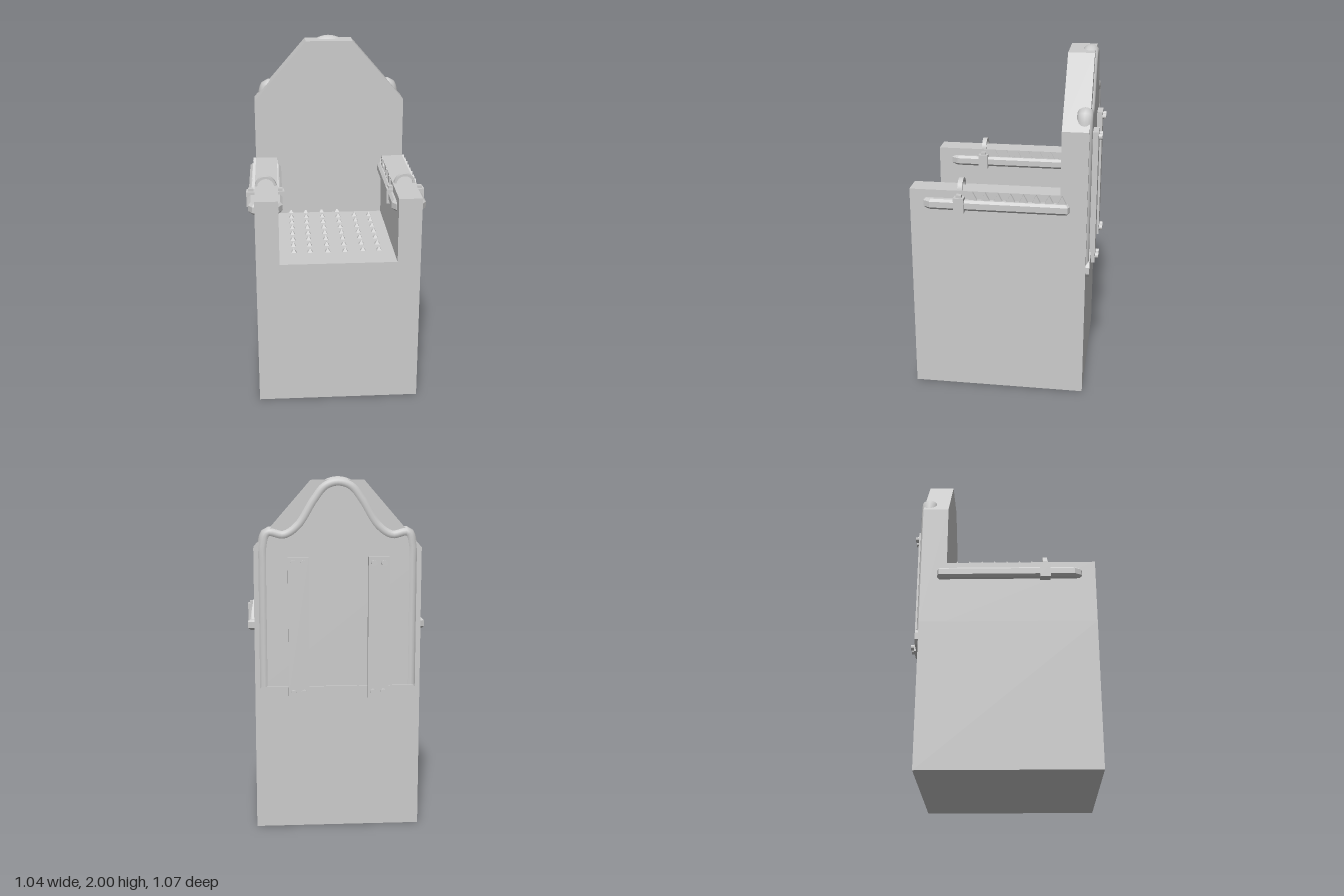
import * as THREE from 'three';

const mat = new THREE.MeshStandardMaterial({ color: 0xcccccc, flatShading: true });
const smooth = new THREE.MeshStandardMaterial({ color: 0xcccccc });

export function createModel() {
  const root = new THREE.Group();

  const add = (name, geo, material = mat, parent = root) => {
    const m = new THREE.Mesh(geo, material);
    m.name = name;
    parent.add(m);
    return m;
  };
  // box given by its limits
  const box = (name, x0, x1, y0, y1, z0, z1, parent = root) =>
    add(name, new THREE.BoxGeometry(x1 - x0, y1 - y0, z1 - z0)
      .translate((x0 + x1) / 2, (y0 + y1) / 2, (z0 + z1) / 2), mat, parent);
  const shape = (pts) => new THREE.Shape(pts.map(([x, y]) => new THREE.Vector2(x, y)));
  const extrude = (s, depth, opts = {}) =>
    new THREE.ExtrudeGeometry(s, { depth, bevelEnabled: false, curveSegments: 16, ...opts });

  // Solid body: seat block and tall back
  box('seatBlock', -0.468, 0.468, 0, 0.865, -0.475, 0.535);
  add('backBlock', extrude(shape([
    [-0.468, 0.865], [0.468, 0.865], [0.468, 1.61], [0.145, 1.98], [-0.145, 1.98], [-0.468, 1.61],
  ]), 0.15).translate(0, 0, -0.475));

  // Arms with embedded rest, ridge of teeth and wrist clamp
  for (const side of [-1, 1]) {
    const arm = new THREE.Group();
    arm.name = side > 0 ? 'leftArm' : 'rightArm';
    root.add(arm);
    const cx = side * 0.408;
    box('armBlock', side * 0.4015 - 0.0665, side * 0.4015 + 0.0665, 0.865, 1.243, -0.325, 0.535, arm);

    const b = 0.014;
    const rest = shape([
      [-0.098 + b, -0.36], [-0.085 + b, -0.38 + b], [0.085 - b, -0.38 + b], [0.098 - b, -0.36],
      [0.098 - b, 0.41], [0.08 - b, 0.44], [0.06 - b, 0.46 - b],
      [-0.06 + b, 0.46 - b], [-0.08 + b, 0.44], [-0.098 + b, 0.41],
    ]);
    add('armRest', extrude(rest, 0.034, {
      bevelEnabled: true, bevelThickness: b, bevelSize: b, bevelSegments: 1,
    }).rotateX(Math.PI / 2).translate(cx, 1.183, 0), mat, arm);

    const tooth = shape([[-0.028, 1.19], [0.028, 1.19], [0, 1.243]]);
    for (let i = 0; i < 8; i++) {
      add('armTooth', extrude(tooth, 0.154).rotateY(Math.PI / 2)
        .translate(cx - 0.077, 0, -0.335 + i * 0.072), mat, arm);
    }

    box('clampBase', cx - 0.11, cx + 0.11, 1.125, 1.213, 0.215, 0.275, arm);
    for (const s of [-1, 1]) {
      box('clampLug', cx + s * 0.083 - 0.016, cx + s * 0.083 + 0.016, 1.21, 1.228, 0.23, 0.26, arm);
    }
    const cuff = new THREE.Shape();
    cuff.moveTo(0.063, 0);
    cuff.absarc(0, 0, 0.063, 0, Math.PI, false);
    cuff.lineTo(-0.049, 0);
    cuff.absarc(0, 0, 0.049, Math.PI, 0, true);
    add('wristCuff', extrude(cuff, 0.028).translate(side * 0.405, 1.237, 0.231), mat, arm);
  }

  // Small pyramids across the seat
  const columns = [-0.25, -0.155, -0.052, 0.05, 0.155, 0.25];
  columns.forEach((x, c) => {
    const rows = c < 4 ? 8 : 7;
    for (let i = 0; i < rows; i++) {
      const z = c < 4 ? -0.33 + i * 0.0975 : -0.245 + i * 0.0985;
      add('seatSpike', new THREE.ConeGeometry(0.022, 0.027, 4, 1).rotateY(Math.PI / 4)
        .translate(x, 0.877, z));
    }
  });

  // Curved frame: half outline mirrored, swept as one flattened tube
  const half = [
    [0.415, 0.8], [0.415, 1.0], [0.415, 1.25], [0.415, 1.5], [0.412, 1.62], [0.388, 1.69], [0.3, 1.678],
    [0.22, 1.73], [0.13, 1.87], [0.07, 1.943],
  ];
  const outline = [...half, [0, 1.965], ...half.map(([x, y]) => [-x, y]).reverse()];
  const path = new THREE.CatmullRomCurve3(
    outline.map(([x, y]) => new THREE.Vector3(x, y, 0)), false, 'centripetal');
  add('backFrame', new THREE.TubeGeometry(path, 160, 0.035, 16, false)
    .scale(1, 1, 0.045 / 0.035).translate(0, 0, -0.445), smooth);

  // Thin panel filling the frame
  const panel = new THREE.Shape(path.getPoints(100).map((p) => new THREE.Vector2(p.x, p.y)));
  add('backPanel', extrude(panel, 0.05).translate(0, 0, -0.484));

  // Bottom rail with clipped ends
  add('bottomRail', extrude(shape([
    [-0.43, 0.74], [0.43, 0.74], [0.45, 0.765], [0.45, 0.805], [0.43, 0.83],
    [-0.43, 0.83], [-0.45, 0.805], [-0.45, 0.765],
  ]), 0.05).translate(0, 0, -0.496));

  // Rear straps with bolts
  for (const [x, name] of [[-0.225, 'rightStrap'], [0.222, 'leftStrap']]) {
    const strap = new THREE.Group();
    strap.name = name;
    root.add(strap);
    box('strapPlate', x - 0.058, x + 0.058, 0.765, 1.56, -0.517, -0.482, strap);
    for (const dx of [-0.029, 0.029]) {
      for (const y of [0.8, 1.528]) {
        add('bolt', new THREE.CylinderGeometry(0.017, 0.017, 0.03, 12).rotateX(Math.PI / 2)
          .translate(x + dx, y, -0.522), mat, strap);
      }
    }
  }
  return root;
}
